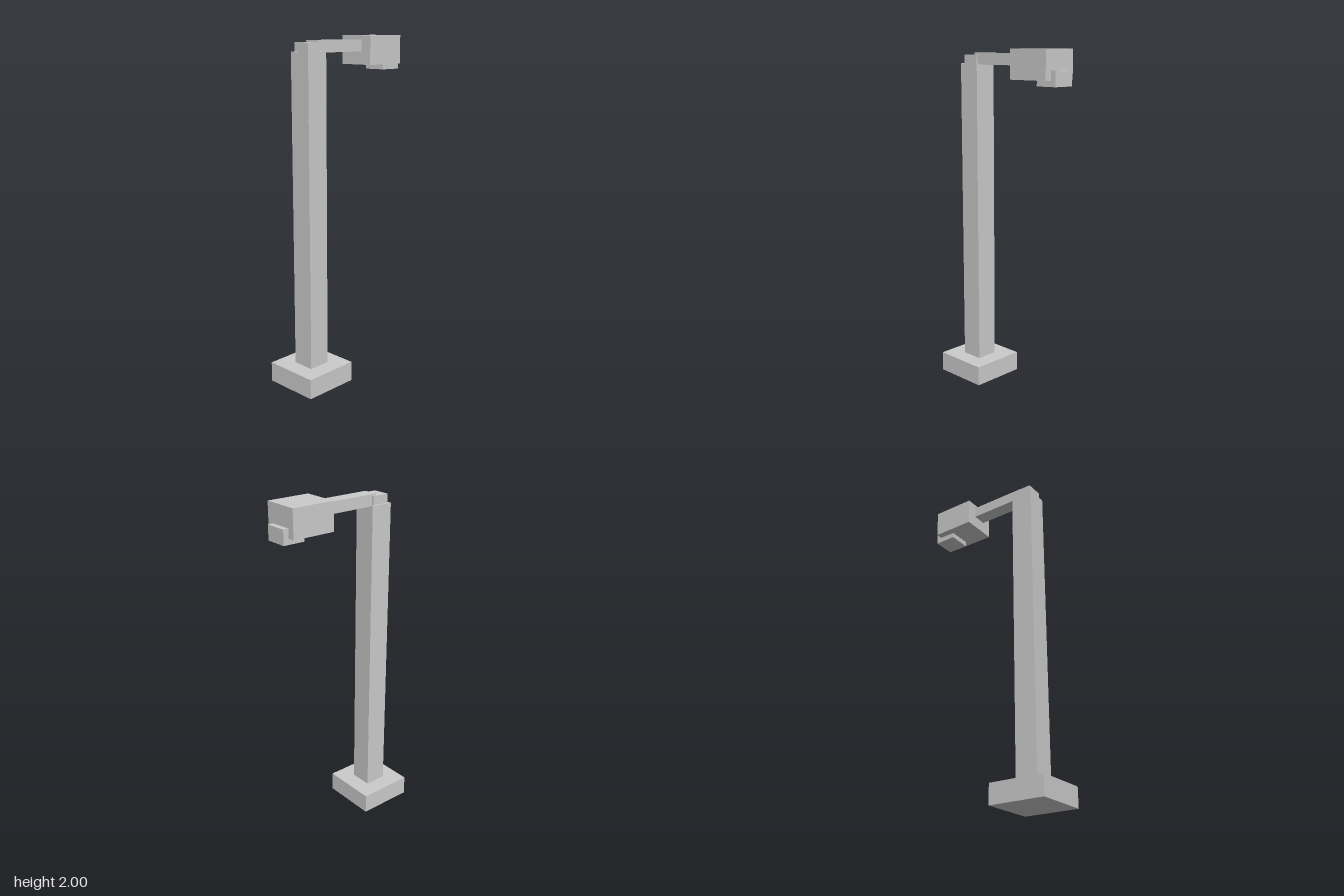
import * as THREE from 'three';

export function createModel() {
  const group = new THREE.Group();
  const material = new THREE.MeshStandardMaterial({ color: 0xcccccc, flatShading: true });

  // Box from its x range, y range and depth, centred on z = 0
  function addBox(name, x0, x1, y0, y1, depth) {
    const mesh = new THREE.Mesh(new THREE.BoxGeometry(x1 - x0, y1 - y0, depth), material);
    mesh.name = name;
    mesh.position.set((x0 + x1) / 2, (y0 + y1) / 2, 0);
    group.add(mesh);
  }

  // Foot and post
  addBox('base', -0.417, -0.083, 0, 0.117, 0.334);
  addBox('post', -0.317, -0.183, 0.117, 1.917, 0.134);

  // Bracket on top of the post, carrying the arm
  addBox('bracket', -0.303, -0.199, 1.917, 1.967, 0.106);
  addBox('arm', -0.225, 0.123, 1.911, 1.977, 0.087);

  // Head, with a smaller block set into its lower outer edge
  addBox('head', 0.123, 0.383, 1.837, 2, 0.217);
  addBox('headLens', 0.283, 0.415, 1.805, 1.89, 0.134);

  return group;
}
